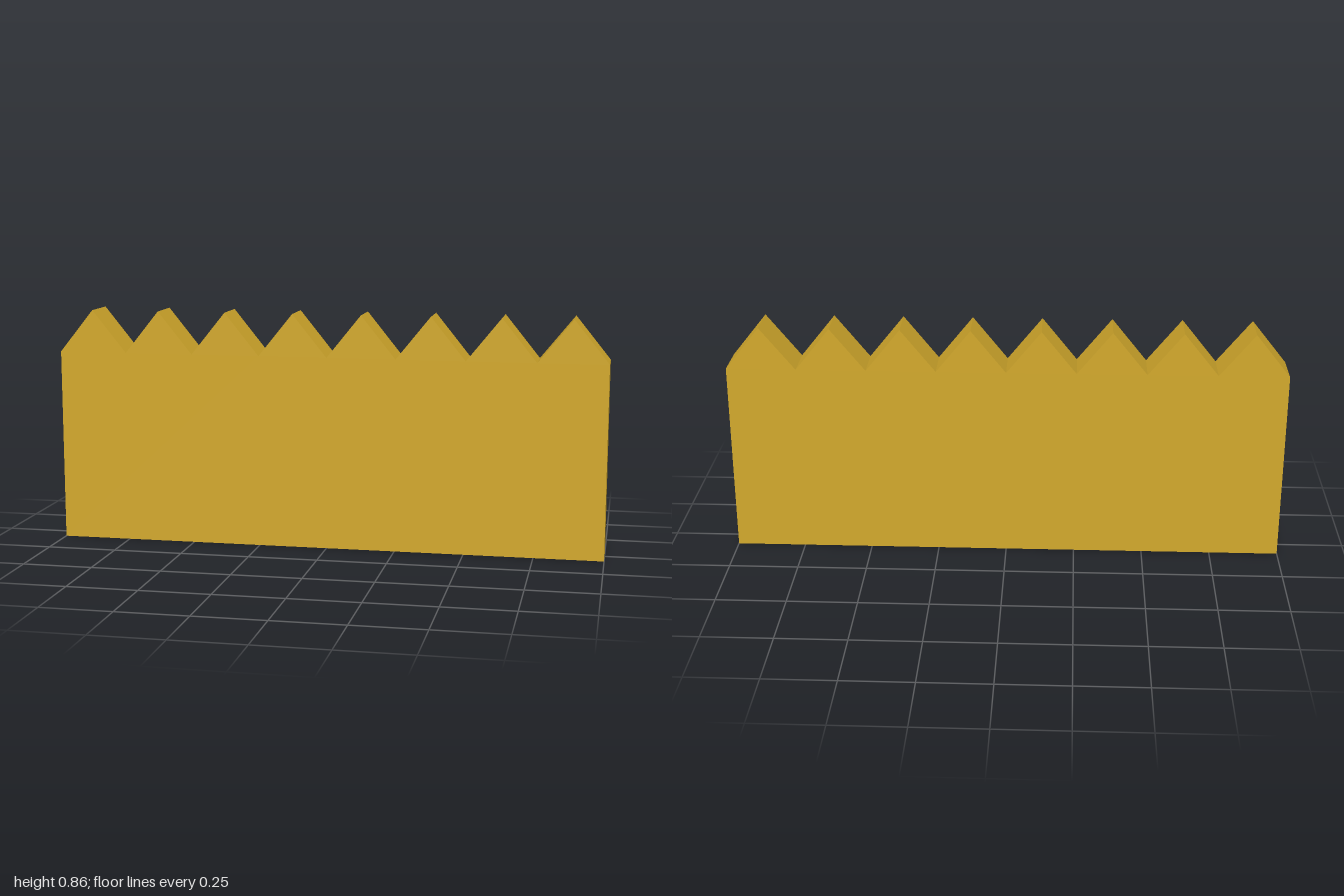
import * as THREE from 'three';

const TEETH = 8, WIDTH = 2, DEPTH = 0.148;
const VALLEY = 0.7, PEAK = 0.855;

export function createModel() {
  const group = new THREE.Group();
  group.name = 'sawtoothPanel';

  // Panel outline: flat base with a row of pointed teeth along the top
  const pitch = WIDTH / TEETH;
  const outline = new THREE.Shape();
  outline.moveTo(-WIDTH / 2, 0);
  outline.lineTo(WIDTH / 2, 0);
  outline.lineTo(WIDTH / 2, VALLEY);
  for (let i = 0; i < TEETH; i++) {
    const x = WIDTH / 2 - i * pitch;
    outline.lineTo(x - pitch / 2, PEAK);
    outline.lineTo(x - pitch, VALLEY);
  }
  outline.closePath();

  const geometry = new THREE.ExtrudeGeometry(outline, { depth: DEPTH, bevelEnabled: false });
  geometry.translate(0, 0, -DEPTH / 2);

  const panel = new THREE.Mesh(
    geometry,
    new THREE.MeshStandardMaterial({ color: 0xd4aa2c })
  );
  panel.name = 'toothedPanel';
  group.add(panel);
  return group;
}
